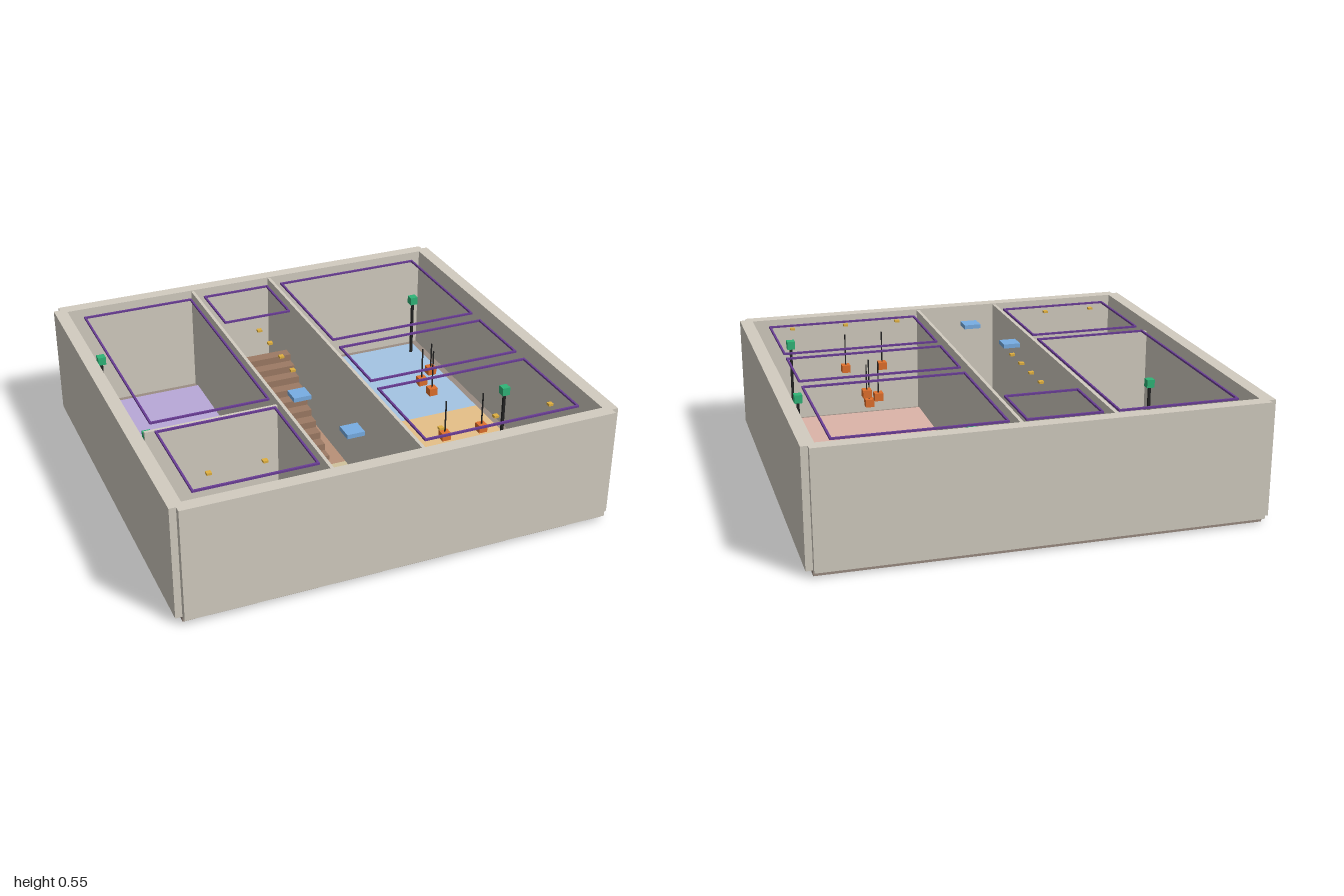
import * as THREE from 'three';

const COLORS = {
  wall: 0xd2ccc0, slab: 0x9a8c82, trim: 0x6a3d96, stair: 0x9c7a64,
  pole: 0x222222, lamp: 0x2fb477, pendant: 0xe0702c, spot: 0xe0b040, panel: 0x78aee4,
};
const materials = new Map();
function paint(color) {
  if (!materials.has(color)) materials.set(color, new THREE.MeshStandardMaterial({ color }));
  return materials.get(color);
}

export function createModel() {
  const model = new THREE.Group();

  // Box given by its extents along each axis
  function box(name, color, [x0, x1], [y0, y1], [z0, z1], parent = model) {
    const mesh = new THREE.Mesh(new THREE.BoxGeometry(x1 - x0, y1 - y0, z1 - z0), paint(color));
    mesh.position.set((x0 + x1) / 2, (y0 + y1) / 2, (z0 + z1) / 2);
    mesh.name = name;
    parent.add(mesh);
    return mesh;
  }
  // Box with a square plan, centred on x, z
  const post = (name, color, x, z, size, y, parent) =>
    box(name, color, [x - size / 2, x + size / 2], y, [z - size / 2, z + size / 2], parent);
  function group(name) {
    const g = new THREE.Group();
    g.name = name;
    model.add(g);
    return g;
  }

  const base = 0.025, top = 0.55;

  // Base slab and outer walls, which leave a notch at each corner
  box('baseSlab', COLORS.slab, [-0.97, 0.97], [0, base], [-0.92, 0.92]);
  box('frontWall', COLORS.wall, [-0.97, 0.97], [base, top], [0.89, 0.95]);
  box('backWall', COLORS.wall, [-0.97, 0.97], [base, top], [-0.95, -0.89]);
  box('leftWall', COLORS.wall, [0.94, 1], [base, top], [-0.92, 0.92]);
  box('rightWall', COLORS.wall, [-1, -0.94], [base, top], [-0.92, 0.92]);

  // Thin inner partitions
  box('rightPartition', COLORS.wall, [-0.315, -0.3], [base, 0.545], [-0.89, 0.89]);
  box('leftPartition', COLORS.wall, [0.09, 0.105], [base, 0.545], [-0.89, 0.89]);
  box('crossPartition', COLORS.wall, [-0.91, -0.315], [base, 0.52], [0.28, 0.295]);

  // Coloured floor of each room: name, color, x range, z range
  const floors = [
    ['mainRoomFloor', 0xb8a8d8, [-0.9, -0.315], [-0.85, 0.27]],
    ['smallRoomFloor', 0x9fd0b4, [-0.9, -0.315], [0.305, 0.85]],
    ['closetFloor', 0xb4c4d0, [-0.3, 0.09], [-0.85, -0.475]],
    ['stairHallFloor', 0xb89078, [-0.3, 0.09], [-0.475, 0.11]],
    ['hallFloor', 0xd0c29c, [-0.3, 0.09], [0.11, 0.89]],
    ['backRoomFloor', 0xa4c4e4, [0.11, 0.9], [-0.85, -0.12]],
    ['middleRoomFloor', 0xe6c088, [0.11, 0.9], [-0.12, 0.31]],
    ['frontRoomFloor', 0xdcb4a8, [0.11, 0.9], [0.31, 0.85]],
  ];
  for (const [name, color, x, z] of floors) box(name, color, x, [base, base + 0.01], z);

  // Staircase rising towards the back
  const stairs = group('staircase');
  const steps = 10, tread = 0.054;
  for (let i = 0; i < steps; i++) {
    const z = 0.07 - i * tread;
    box('step', COLORS.stair, [-0.235, 0.025], [base, base + 0.033 * (i + 1)], [z - tread, z], stairs);
  }

  // Rectangular trim strips near the top of each room: x0, x1, z0, z1
  const rooms = [
    [-0.875, -0.335, -0.83, 0.255], [-0.875, -0.335, 0.325, 0.82], [-0.27, 0.065, -0.83, -0.515],
    [0.135, 0.87, -0.83, -0.155], [0.135, 0.87, -0.08, 0.275], [0.135, 0.87, 0.345, 0.82],
  ];
  const w = 0.009, trimY = [0.53, 0.539];
  for (const [x0, x1, z0, z1] of rooms) {
    const frame = group('ceilingTrim');
    for (const z of [z0, z1 - w]) box('trimLong', COLORS.trim, [x0, x1], trimY, [z, z + w], frame);
    for (const x of [x0, x1 - w]) box('trimSide', COLORS.trim, [x, x + w], trimY, [z0 + w, z1 - w], frame);
  }

  // Floor lamps: x, z, height of the shade centre
  const lamps = [
    [-0.83, -0.74, 0.34], [-0.83, 0.03, 0.34], [-0.83, 0.775, 0.34], [0.85, -0.765, 0.34],
    [0.16, -0.335, 0.33], [0.825, 0.27, 0.34], [0.77, 0.805, 0.44],
  ];
  for (const [x, z, y] of lamps) {
    const lamp = group('floorLamp');
    post('lampPole', COLORS.pole, x, z, 0.012, [base, y - 0.02], lamp);
    post('lampShade', COLORS.lamp, x, z, 0.038, [y - 0.02, y + 0.02], lamp);
  }

  // Pendant lights on cords: x, z, height of the shade centre
  const pendants = [
    [0.48, 0.095, 0.375], [0.54, 0.065, 0.405], [0.515, 0.135, 0.335],
    [0.36, 0.57, 0.37], [0.54, 0.57, 0.37],
  ];
  for (const [x, z, y] of pendants) {
    const pendant = group('pendantLight');
    post('pendantCord', COLORS.pole, x, z, 0.005, [y + 0.018, 0.54], pendant);
    post('pendantShade', COLORS.pendant, x, z, 0.04, [y - 0.018, y + 0.018], pendant);
  }

  // Small ceiling spots and square hall panels
  const spots = [
    ...[-0.38, -0.24, -0.095, 0.045].map((z) => [-0.145, z]),
    ...[-0.77, -0.53].map((x) => [x, 0.715]),
    ...[0.24, 0.5, 0.765].map((x) => [x, 0.755]),
  ];
  for (const [x, z] of spots) post('ceilingSpot', COLORS.spot, x, z, 0.022, [0.53, 0.54]);
  for (const [x, z] of [[-0.195, 0.25], [-0.105, 0.62]]) {
    post('ceilingPanel', COLORS.panel, x, z, 0.08, [0.515, 0.535]);
  }

  return model;
}
